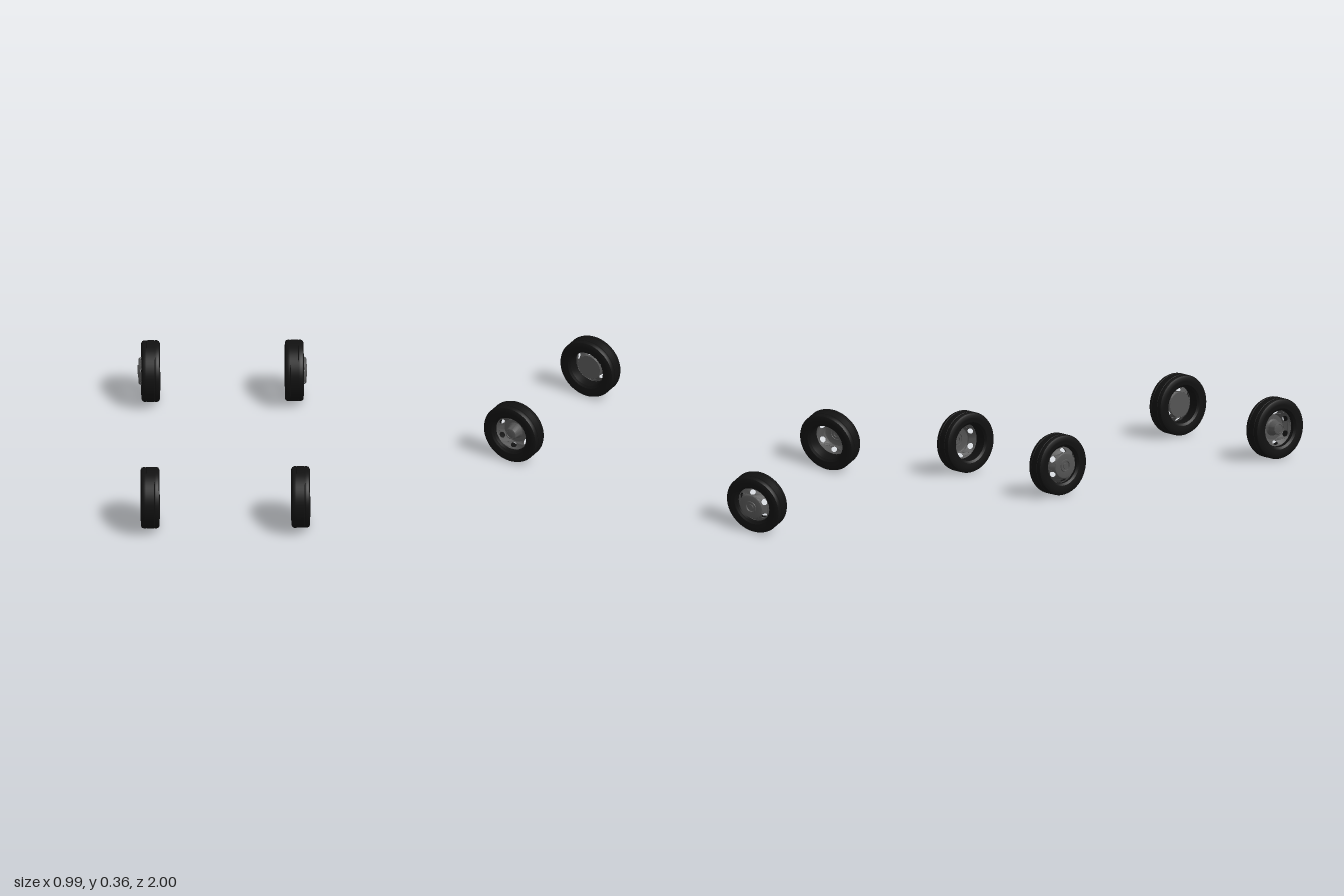
import * as THREE from 'three';
import { toCreasedNormals } from 'three/addons/utils/BufferGeometryUtils.js';

const rubber = new THREE.MeshStandardMaterial({ color: 0x111111, side: THREE.DoubleSide });
const steel = new THREE.MeshStandardMaterial({ color: 0x555555, side: THREE.DoubleSide });

// Lathe around the x axis from [radius, x] pairs; +x is the wheel's outer side
function turned(name, profile, material, segments = 48) {
  const points = profile.map(([r, x]) => new THREE.Vector2(r, x));
  const geometry = new THREE.LatheGeometry(points, segments).rotateZ(-Math.PI / 2);
  const mesh = new THREE.Mesh(toCreasedNormals(geometry, 0.5), material);
  mesh.name = name;
  return mesh;
}

// Cone-shaped ring with six oval slots, from radius rIn at xIn to rOut at xOut
function slottedRing(rIn, xIn, rOut, xOut) {
  const shape = new THREE.Shape().absarc(0, 0, rOut, 0, Math.PI * 2);
  shape.holes.push(new THREE.Path().absarc(0, 0, rIn, 0, Math.PI * 2, true));
  for (let i = 0; i < 6; i++) {
    const a = Math.PI / 2 + i * Math.PI / 3;
    shape.holes.push(new THREE.Path().absellipse(
      0.09 * Math.cos(a), 0.09 * Math.sin(a), 0.011, 0.019, 0, Math.PI * 2, true, a));
  }
  const geometry = new THREE.ExtrudeGeometry(shape, { depth: 0.004, bevelEnabled: false, curveSegments: 24 });
  const p = geometry.attributes.position;
  for (let i = 0; i < p.count; i++) {
    const t = (Math.hypot(p.getX(i), p.getY(i)) - rIn) / (rOut - rIn);
    p.setZ(i, p.getZ(i) - 0.004 + THREE.MathUtils.lerp(xIn, xOut, t));
  }
  geometry.rotateY(Math.PI / 2);
  const mesh = new THREE.Mesh(toCreasedNormals(geometry, 0.5), steel);
  mesh.name = 'slottedRing';
  return mesh;
}

function wheel(name, isFront) {
  const group = new THREE.Group();
  group.name = name;

  // Tyre with chamfered shoulders and a shallow groove near each edge
  group.add(turned('tyre', [
    [0.112, -0.044], [0.122, -0.052], [0.145, -0.055], [0.165, -0.054], [0.175, -0.049], [0.18, -0.038],
    [0.18, -0.026], [0.178, -0.025], [0.178, -0.023], [0.18, -0.022],
    [0.18, 0.022], [0.178, 0.023], [0.178, 0.025], [0.18, 0.026],
    [0.18, 0.038], [0.175, 0.049], [0.165, 0.054], [0.145, 0.055], [0.122, 0.052], [0.112, 0.044],
    [0.112, -0.044],
  ], rubber, 64));

  // Rim barrel lining the tyre
  group.add(turned('rimBarrel', [
    [0.113, -0.046], [0.109, -0.043], [0.107, -0.025], [0.107, 0.025], [0.109, 0.043], [0.113, 0.046],
  ], rubber));

  if (isFront) {
    // Dished disc with a hub standing out of its middle
    group.add(slottedRing(0.076, -0.013, 0.108, 0.022));
    group.add(turned('dish', [[0, -0.017], [0.074, -0.017], [0.0765, -0.013]], steel));
    group.add(turned('hub', [
      [0.05, -0.017], [0.042, -0.008], [0.036, 0.03], [0.033, 0.038], [0.027, 0.04], [0.025, 0.036], [0, 0.036],
    ], steel));
  } else {
    // Domed disc bulging past the tyre, with a low ringed cap
    group.add(slottedRing(0.077, 0.066, 0.108, 0.028));
    group.add(turned('dome', [[0.0775, 0.065], [0.074, 0.069], [0.068, 0.071], [0.036, 0.071]], steel));
    group.add(turned('cap', [
      [0.037, 0.071], [0.035, 0.075], [0.029, 0.075], [0.027, 0.068],
      [0.016, 0.068], [0.015, 0.073], [0, 0.073],
    ], steel));
  }
  return group;
}

export function createModel() {
  const model = new THREE.Group();
  model.name = 'wheelSet';
  for (const isFront of [true, false]) {
    for (const side of [1, -1]) {
      const w = wheel((isFront ? 'front' : 'rear') + (side > 0 ? 'Left' : 'Right') + 'Wheel', isFront);
      w.position.set(side * (isFront ? 0.44 : 0.42), 0.18, isFront ? 0.82 : -0.82);
      if (side < 0) w.rotation.y = Math.PI;
      model.add(w);
    }
  }
  return model;
}
